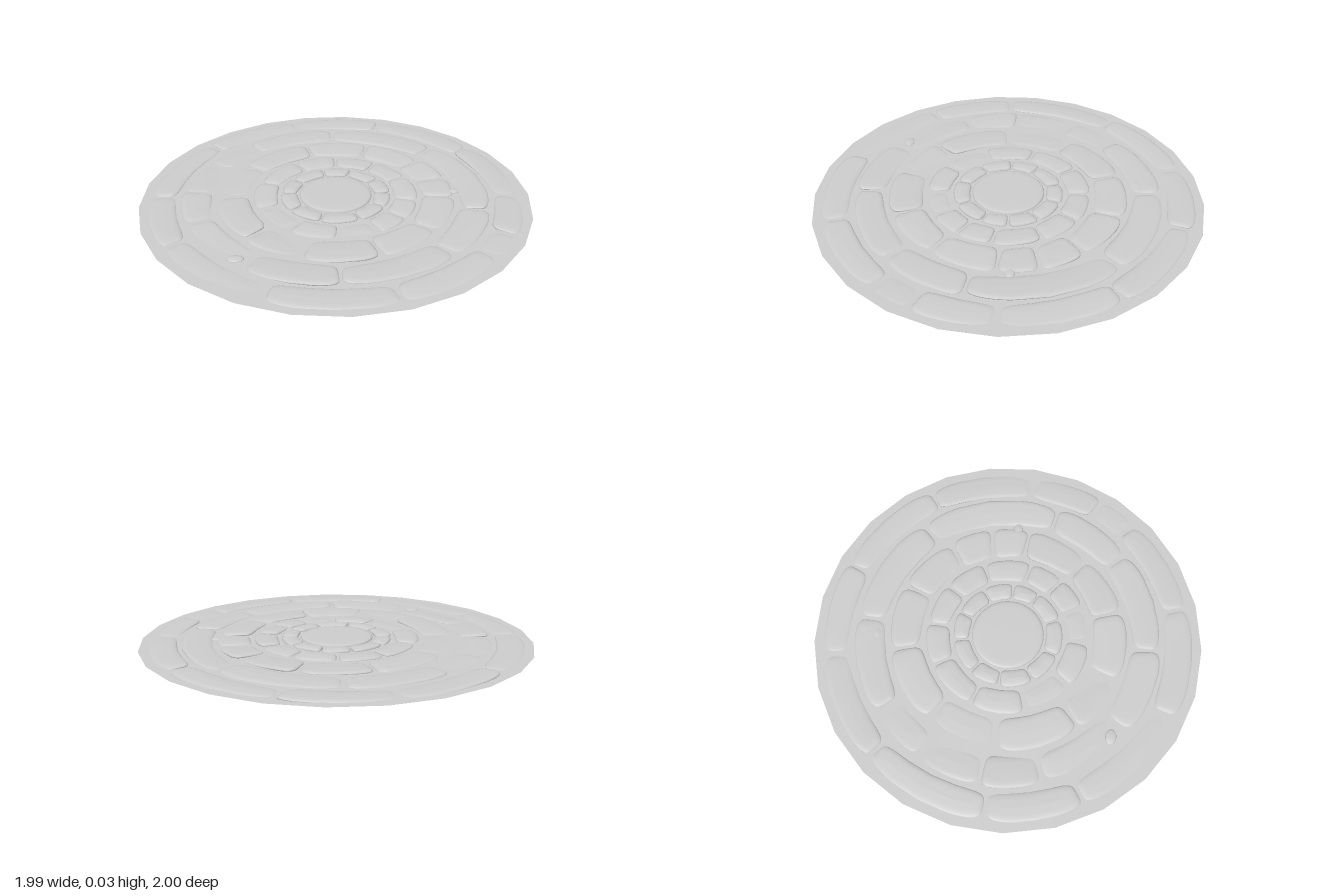
import * as THREE from 'three';

const DEG = Math.PI / 180;
const BASE_Y = 0.016;
const material = new THREE.MeshStandardMaterial({ color: 0xcccccc });

let seed = 7;
const rand = () => {
  seed = (seed * 16807) % 2147483647;
  return seed / 2147483647;
};

// Closed surface skinned over equal-length loops, from the underside to the crown
function skin(loops) {
  const n = loops[0].length, index = [];
  for (let i = 0; i < loops.length - 1; i++) {
    for (let j = 0; j < n; j++) {
      const a = i * n + j, b = i * n + (j + 1) % n;
      index.push(a, b, b + n, a, b + n, a + n);
    }
  }
  const geometry = new THREE.BufferGeometry();
  geometry.setAttribute('position', new THREE.Float32BufferAttribute(loops.flat(2), 3));
  geometry.setIndex(index);
  geometry.computeVertexNormals();
  return geometry;
}

// Worn paving stone: a rounded block bent around the centre, slightly tilted
function stoneGeometry(r0, r1, a0, a1, top, tilt) {
  const n = 40, r = (r0 + r1) / 2, a = (a0 + a1) / 2 * DEG;
  const L = (a1 - a0) / 2 * DEG * r, W = (r1 - r0) / 2;
  const taper = (rand() - 0.5) * 0.16, skew = (rand() - 0.5) * 0.2;
  const tiltArc = (rand() - 0.5) * tilt, tiltRad = (rand() - 0.5) * tilt;
  const round = (v) => Math.sign(v) * Math.abs(v) ** 0.42;
  // inset from the outline, height
  const profile = [
    [W, 0.004], [0.025, 0.004], [0.01, 0.006], [0, 0.011],
    [0, top - 0.008], [0.006, top - 0.004], [0.018, top - 0.001], [0.035, top], [W, top + 0.001],
  ];
  return skin(profile.map(([d, y]) => {
    const inset = Math.min(d, W);
    return Array.from({ length: n }, (_, j) => {
      const t = j / n * Math.PI * 2;
      let u = round(Math.cos(t)) * Math.max(L - inset, 0.005);
      let v = round(Math.sin(t)) * (W - inset);
      v *= 1 + taper * (u / L) - Math.abs(taper);
      u += skew * v;
      const angle = a + u / r;
      const h = y + tiltArc * u / L + tiltRad * v / W;
      return [(r + v) * Math.cos(angle), Math.max(h, 0.001), (r + v) * Math.sin(angle)];
    });
  }));
}

// Each ring: radii, crown height, tilt, joint angles (degrees from +x towards +z), sunken stones
const rings = [
  { name: 'innerRing', r: [0.196, 0.285], top: 0.029, tilt: 0.003, gap: 0.008,
    joints: [-2, 28, 65, 107, 145, 182, 215, 255, 288, 325], sunk: [] },
  { name: 'secondRing', r: [0.3, 0.425], top: 0.026, tilt: 0.006, gap: 0.012,
    joints: [9, 35, 60, 89, 123, 160, 199, 238, 270.5, 303, 334], sunk: [2, 4] },
  { name: 'thirdRing', r: [0.44, 0.615], top: 0.025, tilt: 0.008, gap: 0.014,
    joints: [3, 37, 70, 106, 136, 178, 214, 254, 289, 321, 343], sunk: [3, 5] },
  { name: 'fourthRing', r: [0.63, 0.795], top: 0.024, tilt: 0.009, gap: 0.014,
    joints: [13, 46, 89, 123, 159, 182, 207, 230, 269, 316], sunk: [3, 5, 6] },
  { name: 'outerRing', r: [0.81, 0.955], top: 0.023, tilt: 0.009, gap: 0.014,
    joints: [1, 25, 39, 73, 110, 149, 179, 219, 255, 287, 325], sunk: [1, 4] },
];

export function createModel() {
  const model = new THREE.Group();
  model.name = 'stonePaving';
  const add = (parent, geometry, name, mat = material) => {
    const mesh = new THREE.Mesh(geometry, mat);
    mesh.name = name;
    parent.add(mesh);
    return mesh;
  };

  // Thin ground sheet that the stones pass through
  const ground = new THREE.CircleGeometry(1, 25, 86 * DEG);
  ground.rotateX(-Math.PI / 2).translate(0, BASE_Y, 0);
  add(model, ground, 'groundSheet', new THREE.MeshStandardMaterial({ color: 0xcccccc, side: THREE.DoubleSide }));

  // Round centre stone
  const profile = [[0, 0], [0.168, 0], [0.18, 0.003], [0.186, 0.009], [0.186, 0.02],
    [0.181, 0.025], [0.168, 0.028], [0.14, 0.029], [0, 0.029]];
  add(model, new THREE.LatheGeometry(profile.map((p) => new THREE.Vector2(...p)), 40), 'centreStone');

  // Concentric rings of stones
  for (const { name, r, top, tilt, gap, joints, sunk } of rings) {
    const ring = new THREE.Group();
    ring.name = name;
    model.add(ring);
    const half = gap / 2 / ((r[0] + r[1]) / 2) / DEG;
    joints.forEach((start, i) => {
      const end = i + 1 < joints.length ? joints[i + 1] : joints[0] + 360;
      const height = sunk.includes(i) ? 0.018 : top;
      add(ring, stoneGeometry(r[0], r[1], start + half, end - half, height, tilt), 'pavingStone');
    });
  }

  // Loose pebbles in the wide joints
  for (const [x, z, s] of [[-0.09, -0.67, 0.035], [-0.07, -0.74, 0.04], [-0.46, 0.58, 0.04], [0.61, -0.03, 0.035]]) {
    const pebble = add(model, new THREE.SphereGeometry(1, 16, 10), 'pebble');
    pebble.scale.set(s, 0.009, s * 0.7);
    pebble.position.set(x, BASE_Y, z);
  }
  return model;
}
